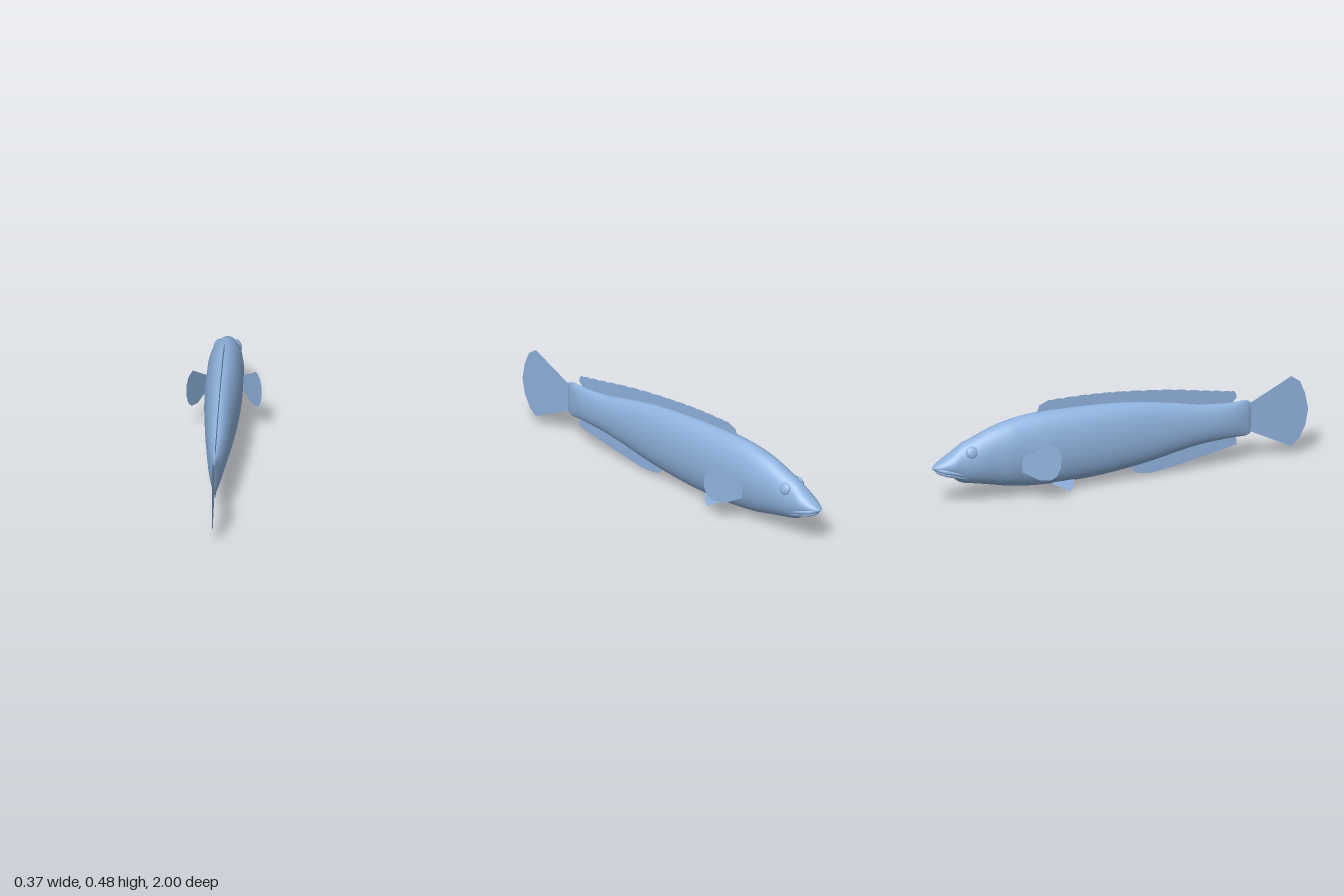
import * as THREE from 'three';

// Body stations from snout to tail root: z, top y, bottom y, half width
const STATIONS = [
  [-1, 0.21, 0.203, 0.003], [-0.985, 0.222, 0.193, 0.022], [-0.95, 0.245, 0.178, 0.042],
  [-0.9, 0.275, 0.152, 0.058], [-0.85, 0.31, 0.117, 0.062], [-0.77, 0.345, 0.1, 0.075],
  [-0.69, 0.377, 0.083, 0.082], [-0.61, 0.4, 0.066, 0.09], [-0.53, 0.415, 0.054, 0.09],
  [-0.42, 0.424, 0.045, 0.092], [-0.3, 0.425, 0.044, 0.092], [-0.15, 0.421, 0.048, 0.087],
  [0, 0.412, 0.062, 0.079], [0.15, 0.394, 0.083, 0.069], [0.3, 0.366, 0.113, 0.058],
  [0.42, 0.342, 0.133, 0.048], [0.52, 0.331, 0.141, 0.039], [0.6, 0.327, 0.144, 0.029],
  [0.66, 0.33, 0.143, 0.016], [0.685, 0.322, 0.15, 0.007], [0.695, 0.308, 0.16, 0.001],
];

// Smooth loft of elliptical rings through the stations
function bodyGeometry(rows = 100, sides = 40) {
  const outline = new THREE.CatmullRomCurve3(
    STATIONS.map(([z, top, bot]) => new THREE.Vector3(z, top, bot)), false, 'catmullrom');
  const widths = new THREE.CatmullRomCurve3(
    STATIONS.map(([z, , , w]) => new THREE.Vector3(z, w, 0)), false, 'catmullrom');
  const pos = [], index = [];
  for (let i = 0; i <= rows; i++) {
    const o = outline.getPoint(i / rows), w = widths.getPoint(i / rows).y;
    for (let j = 0; j < sides; j++) {
      const a = (j / sides) * Math.PI * 2;
      pos.push(w * Math.cos(a), (o.y + o.z) / 2 + ((o.y - o.z) / 2) * Math.sin(a), o.x);
      if (i < rows) {
        const p = i * sides + j, q = i * sides + ((j + 1) % sides);
        index.push(p, q, p + sides, q, q + sides, p + sides);
      }
    }
  }
  const g = new THREE.BufferGeometry();
  g.setAttribute('position', new THREE.Float32BufferAttribute(pos, 3));
  g.setIndex(index);
  g.computeVertexNormals();
  return g;
}

// Thin fin from a (z, y) outline; xAt gives the sideways lean
function finGeometry(points, xAt = () => 0) {
  const g = new THREE.ShapeGeometry(new THREE.Shape(points.map(([z, y]) => new THREE.Vector2(z, y))));
  const p = g.attributes.position;
  for (let i = 0; i < p.count; i++) {
    const z = p.getX(i), y = p.getY(i);
    p.setXYZ(i, xAt(z, y), y, z);
  }
  g.computeVertexNormals();
  return g;
}

// Dorsal edge: smooth curve with shallow scallops between the rays
function dorsalOutline() {
  const edge = new THREE.SplineCurve([
    [0.605, 0.385], [0.46, 0.409], [0.25, 0.444], [0, 0.47], [-0.2, 0.48], [-0.38, 0.479],
  ].map(([z, y]) => new THREE.Vector2(z, y)));
  const pts = [[0.59, 0.315], [0.605, 0.335], [0.62, 0.35], [0.617, 0.37]];
  for (let i = 0; i <= 60; i++) {
    const p = edge.getPoint(i / 60);
    pts.push([p.x, p.y - (i % 4 === 2 ? 0.004 : 0)]);
  }
  pts.push([-0.43, 0.458], [-0.442, 0.425], [-0.42, 0.4], [0, 0.38], [0.25, 0.35], [0.42, 0.32]);
  return pts;
}

export function createModel() {
  const model = new THREE.Group();
  const blue = new THREE.MeshStandardMaterial({ color: 0x8fb2dd, side: THREE.DoubleSide });
  blue.name = 'soft blue';
  const add = (name, geometry) => {
    const mesh = new THREE.Mesh(geometry, blue);
    mesh.name = name;
    model.add(mesh);
    return mesh;
  };

  add('body', bodyGeometry());

  // Fins on the centre line
  add('dorsalFin', finGeometry(dorsalOutline()));
  add('analFin', finGeometry([
    [0.6, 0.16], [0.618, 0.135], [0.618, 0.103], [0.5, 0.078], [0.4, 0.058], [0.28, 0.036],
    [0.22, 0.025], [0.16, 0.02], [0.1, 0.026], [0.07, 0.042], [0.055, 0.08], [0.2, 0.12], [0.4, 0.15],
  ]));
  add('tailFin', finGeometry([
    [0.66, 0.295], [0.695, 0.312], [0.91, 0.42], [0.957, 0.387], [0.984, 0.32], [1, 0.235],
    [0.985, 0.155], [0.952, 0.088], [0.91, 0.053], [0.695, 0.16], [0.66, 0.178],
  ]));

  // Paired fins and eyes
  const pectoral = [
    [-0.556, 0.23], [-0.556, 0.155], [-0.48, 0.116], [-0.43, 0.121], [-0.405, 0.145],
    [-0.39, 0.19], [-0.388, 0.245], [-0.405, 0.287], [-0.44, 0.308],
  ];
  const pelvic = [
    [-0.255, 0.068], [-0.262, 0.045], [-0.27, 0.022], [-0.293, 0.004], [-0.32, 0.024],
    [-0.37, 0.046], [-0.38, 0.068],
  ];
  for (const [side, s] of [['left', 1], ['right', -1]]) {
    add(side + 'PectoralFin', finGeometry(pectoral, (z) => s * (0.088 + (z + 0.556) * 0.58)));
    add(side + 'PelvicFin', finGeometry(pelvic, (z, y) => s * (0.034 + (0.055 - y) * 0.45)));
    const eye = add(side + 'Eye', new THREE.SphereGeometry(0.03, 24, 16));
    eye.scale.x = 0.45;
    eye.position.set(s * 0.053, 0.283, -0.81);
    eye.rotation.set(0, s * 0.15, s * 0.35);
  }

  // Lips wrapping the snout, corners tucked into the cheeks
  const lip = (drop, back, r) => new THREE.TubeGeometry(new THREE.CatmullRomCurve3([
    [-0.043, 0.166, -0.85], [-0.047, 0.183, -0.9], [-0.033, 0.197, -0.955], [0, 0.205, -0.982],
    [0.033, 0.197, -0.955], [0.047, 0.183, -0.9], [0.043, 0.166, -0.85],
  ].map(([x, y, z]) => new THREE.Vector3(x * (1 - drop * 6), y - drop, z + back))), 40, r, 10);
  add('upperLip', lip(0, 0, 0.011));
  add('lowerLip', lip(0.019, 0.012, 0.01));

  return model;
}
